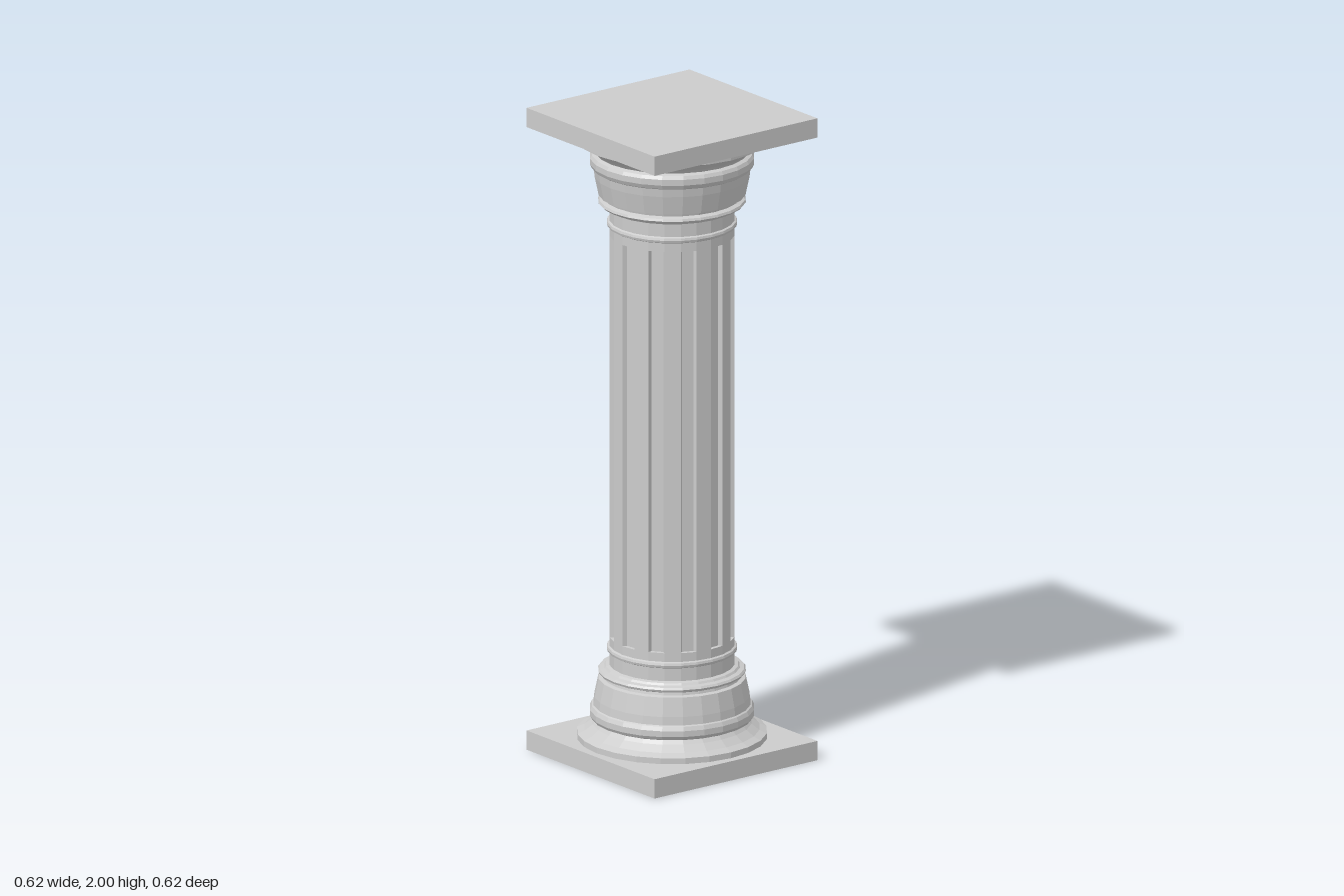
import * as THREE from 'three';

const SIDES = 24;
const FLUTE_BOTTOM = 0.375, FLUTE_TOP = 1.625;
const SHAFT_R = 0.187, FLOOR_R = 0.174;

// One facet per side, with crisp edges
function flat(geometry) {
  const g = geometry.toNonIndexed();
  g.computeVertexNormals();
  return g;
}

export function createModel() {
  const group = new THREE.Group();
  const stone = new THREE.MeshStandardMaterial({ color: 0xcccccc });
  stone.name = 'grey stone';

  function add(name, geometry) {
    const mesh = new THREE.Mesh(geometry, stone);
    mesh.name = name;
    group.add(mesh);
  }

  // Moulding profile from the plinth up to the fluting: radius, height
  const profile = [
    [0, 0.058], [0.284, 0.058], [0.284, 0.078], [0.262, 0.088], [0.238, 0.106], [0.228, 0.117],
    [0.24, 0.122], [0.246, 0.132], [0.246, 0.15], [0.24, 0.162], [0.235, 0.165],
    [0.232, 0.19], [0.22, 0.247], [0.207, 0.25], [0.205, 0.258],
    [0.218, 0.263], [0.221, 0.27], [0.216, 0.276], [0.203, 0.279], [0.198, 0.285], [SHAFT_R, 0.288],
    [SHAFT_R, 0.328], [0.193, 0.331], [0.195, 0.338], [0.193, 0.345], [SHAFT_R, 0.348],
    [SHAFT_R, FLUTE_BOTTOM], [0, FLUTE_BOTTOM],
  ].map(([r, y]) => new THREE.Vector2(r, y));
  const mirrored = profile.map((p) => new THREE.Vector2(p.x, 2 - p.y)).reverse();

  add('baseMoulding', flat(new THREE.LatheGeometry(profile, SIDES)));
  add('capitalMoulding', flat(new THREE.LatheGeometry(mirrored, SIDES)));

  // Shaft section: every second facet is sunk to form a flute
  const points = [];
  const corner = (radius, degrees) => {
    const a = THREE.MathUtils.degToRad(degrees);
    points.push(new THREE.Vector2(radius * Math.sin(a), -radius * Math.cos(a)));
  };
  for (let start = 0; start < 360; start += 30) {
    corner(SHAFT_R, start);
    corner(FLOOR_R, start + 1.5);
    corner(FLOOR_R, start + 13.5);
    corner(SHAFT_R, start + 15);
  }
  const shaft = new THREE.ExtrudeGeometry(new THREE.Shape(points), {
    depth: FLUTE_TOP - FLUTE_BOTTOM, bevelEnabled: false,
  });
  shaft.rotateX(-Math.PI / 2).translate(0, FLUTE_BOTTOM, 0);
  add('flutedShaft', shaft);

  // Square slabs at the foot and the head
  for (const [name, y] of [['plinth', 0.03], ['abacus', 1.97]]) {
    const slab = new THREE.BoxGeometry(0.616, 0.06, 0.616);
    add(name, slab.translate(0, y, 0));
  }
  return group;
}
